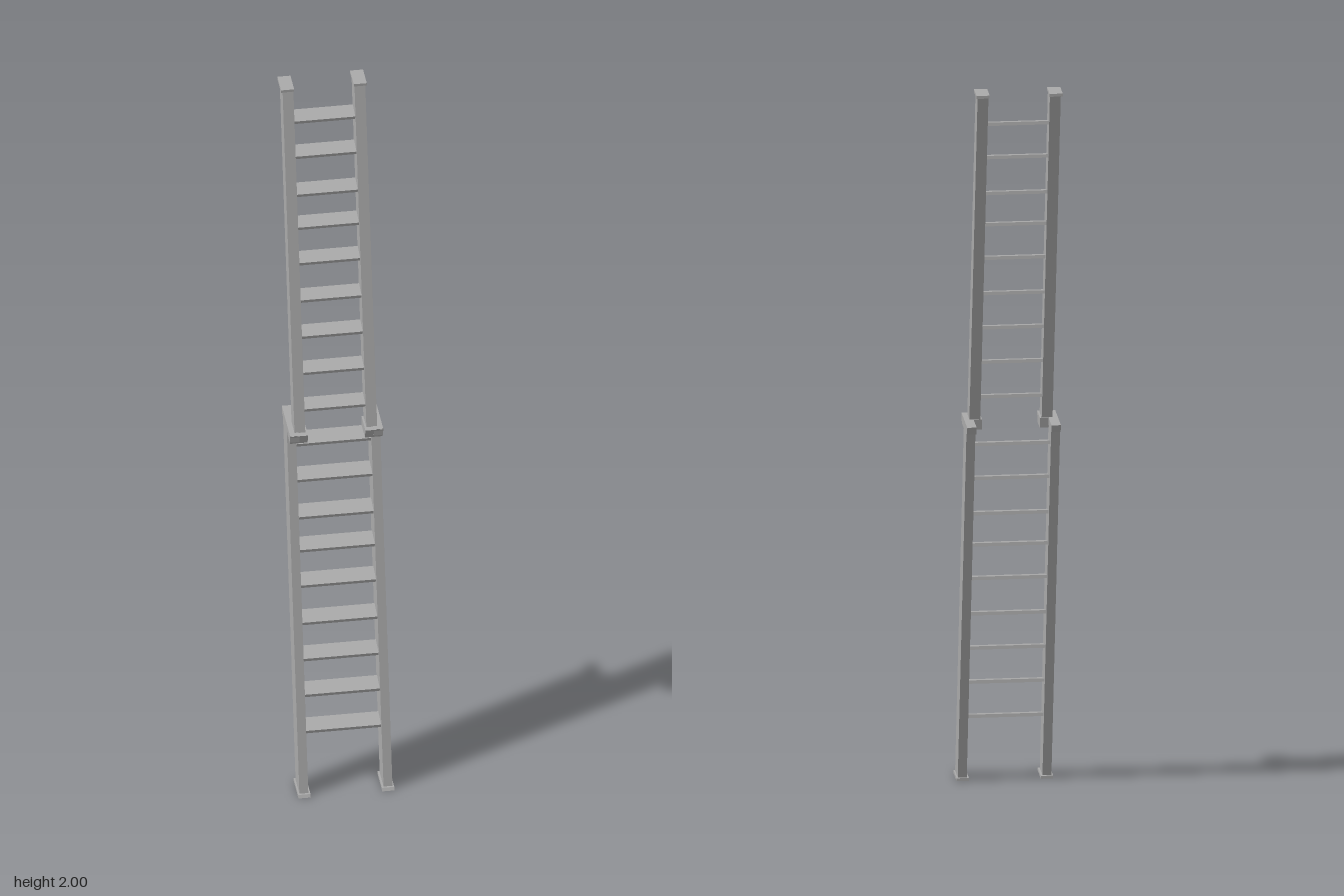
import * as THREE from 'three';

const material = new THREE.MeshStandardMaterial({ color: 0xaaaaaa, flatShading: true });

function addBox(parent, name, size, position) {
  const mesh = new THREE.Mesh(new THREE.BoxGeometry(...size), material);
  mesh.name = name;
  mesh.position.set(...position);
  parent.add(mesh);
  return mesh;
}

// A side profile of [z, y] points, extruded from x0 to x1 on the given side
function addProfile(parent, name, side, points, x0, x1) {
  const shape = new THREE.Shape(points.map(([z, y]) => new THREE.Vector2(-z, y)));
  const geometry = new THREE.ExtrudeGeometry(shape, { depth: x1 - x0, bevelEnabled: false });
  geometry.rotateY(Math.PI / 2);
  const mesh = new THREE.Mesh(geometry, material);
  mesh.name = name;
  mesh.position.x = side > 0 ? x0 : -x1;
  parent.add(mesh);
}

// One ladder section: two leaning rails cut level at both ends, with treads that dip to the front
function ladderSection(name, { y0, y1, z0, z1, inner, outer, depth, rungY, rungDepth, rungZ }) {
  const section = new THREE.Group();
  section.name = name;
  const slope = (z1 - z0) / (y1 - y0);

  for (const side of [-1, 1]) {
    const rail = addBox(section, side > 0 ? 'leftRail' : 'rightRail',
      [outer - inner, y1 - y0, depth],
      [side * (inner + outer) / 2, (y0 + y1) / 2, (z0 + z1) / 2]);
    // lean the rail by shearing it
    rail.geometry.applyMatrix4(new THREE.Matrix4().set(
      1, 0, 0, 0,
      0, 1, 0, 0,
      0, slope, 1, 0,
      0, 0, 0, 1));
    rail.geometry.computeVertexNormals();
  }

  for (const y of rungY) {
    const rung = addBox(section, 'rung', [inner * 2 + 0.004, 0.009, rungDepth],
      [0, y, z0 + slope * (y - y0) + rungZ]);
    rung.rotation.x = -Math.atan(slope);
  }
  return section;
}

// Joint bracket: a long outer bar and a front ledge that carries the upper rail
function jointBracket(side) {
  const bracket = new THREE.Group();
  bracket.name = side > 0 ? 'leftBracket' : 'rightBracket';
  addProfile(bracket, 'bracketBar', side,
    [[0.056, 1.022], [-0.083, 1.022], [-0.09, 1.043], [0.058, 1.043]], 0.1, 0.125);
  addProfile(bracket, 'bracketLedge', side,
    [[0.05, 1.014], [-0.008, 1.014], [-0.012, 1.042], [0.059, 1.042]], 0.077, 0.124);
  return bracket;
}

export function createModel() {
  const ladder = new THREE.Group();
  ladder.name = 'ladder';

  ladder.add(ladderSection('lowerSection', {
    y0: 0.005, y1: 1.03, z0: 0.187, z1: -0.037, inner: 0.101, outer: 0.125, depth: 0.068,
    rungY: [0.178, 0.279, 0.379, 0.48, 0.584, 0.683, 0.775, 0.879, 0.979], rungDepth: 0.05, rungZ: 0.002,
  }));
  ladder.add(ladderSection('upperSection', {
    y0: 1.02, y1: 1.995, z0: 0.021, z1: -0.194, inner: 0.082, outer: 0.111, depth: 0.053,
    rungY: [1.103, 1.205, 1.306, 1.407, 1.511, 1.61, 1.702, 1.808, 1.906], rungDepth: 0.045, rungZ: -0.002,
  }));

  // Feet with sloping toes, top caps and joint brackets on both sides
  for (const side of [-1, 1]) {
    addProfile(ladder, 'foot', side, [[0.231, 0], [0.145, 0], [0.145, 0.008], [0.226, 0.008]], 0.096, 0.129);
    addBox(ladder, 'topCap', [0.035, 0.008, 0.066], [side * 0.0975, 1.996, -0.2]);
    ladder.add(jointBracket(side));
  }
  return ladder;
}
